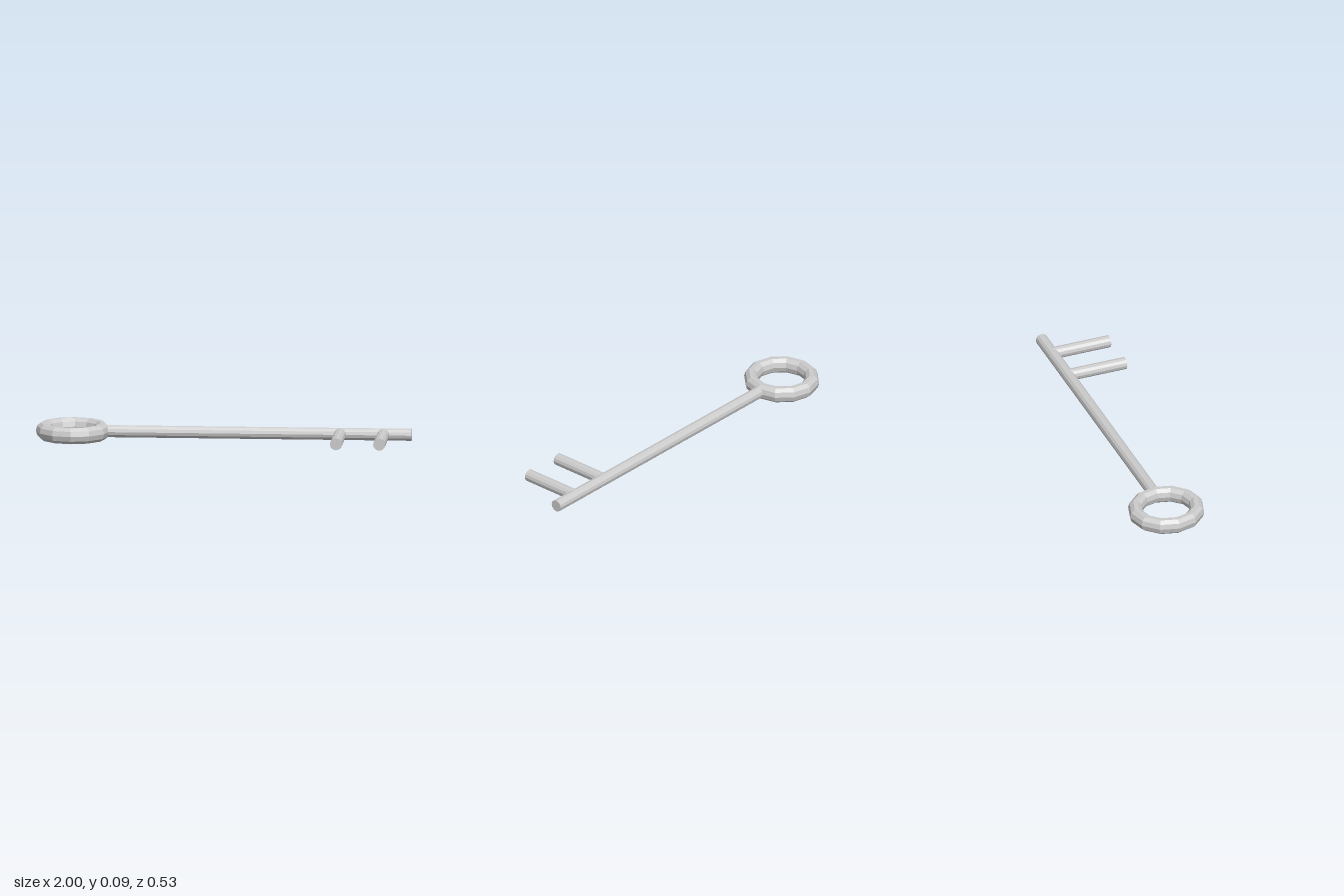
import * as THREE from 'three';

const ROD_RADIUS = 0.0325;
const AXIS_Y = 0.0425;
const AXIS_Z = -0.06;

const material = new THREE.MeshStandardMaterial({ color: 0xcccccc, flatShading: true });

function addPart(group, name, geometry, x, z) {
  const mesh = new THREE.Mesh(geometry, material);
  mesh.name = name;
  mesh.position.set(x, AXIS_Y, z);
  group.add(mesh);
  return mesh;
}

const rod = (length) => new THREE.CylinderGeometry(ROD_RADIUS, ROD_RADIUS, length, 12);

export function createModel() {
  const key = new THREE.Group();
  key.name = 'key';

  // Ring handle, lying flat and slightly longer across the shaft
  const ring = new THREE.TorusGeometry(0.16, 0.038, 10, 12).rotateX(Math.PI / 2);
  ring.scale(1, AXIS_Y / (0.038 * Math.sin(Math.PI * 0.4)), 1.04);
  addPart(key, 'ringHandle', ring, -0.802, AXIS_Z);

  // Shaft running from the ring to the tip
  const start = -0.617;
  const end = 1;
  addPart(key, 'shaft', rod(end - start).rotateZ(Math.PI / 2), (start + end) / 2, AXIS_Z);

  // Two teeth reaching forward from the shaft axis
  const toothEnd = 0.267;
  [['innerTooth', 0.62], ['outerTooth', 0.85]].forEach(([name, x]) => {
    addPart(key, name, rod(toothEnd - AXIS_Z).rotateX(Math.PI / 2), x, (AXIS_Z + toothEnd) / 2);
  });

  return key;
}
